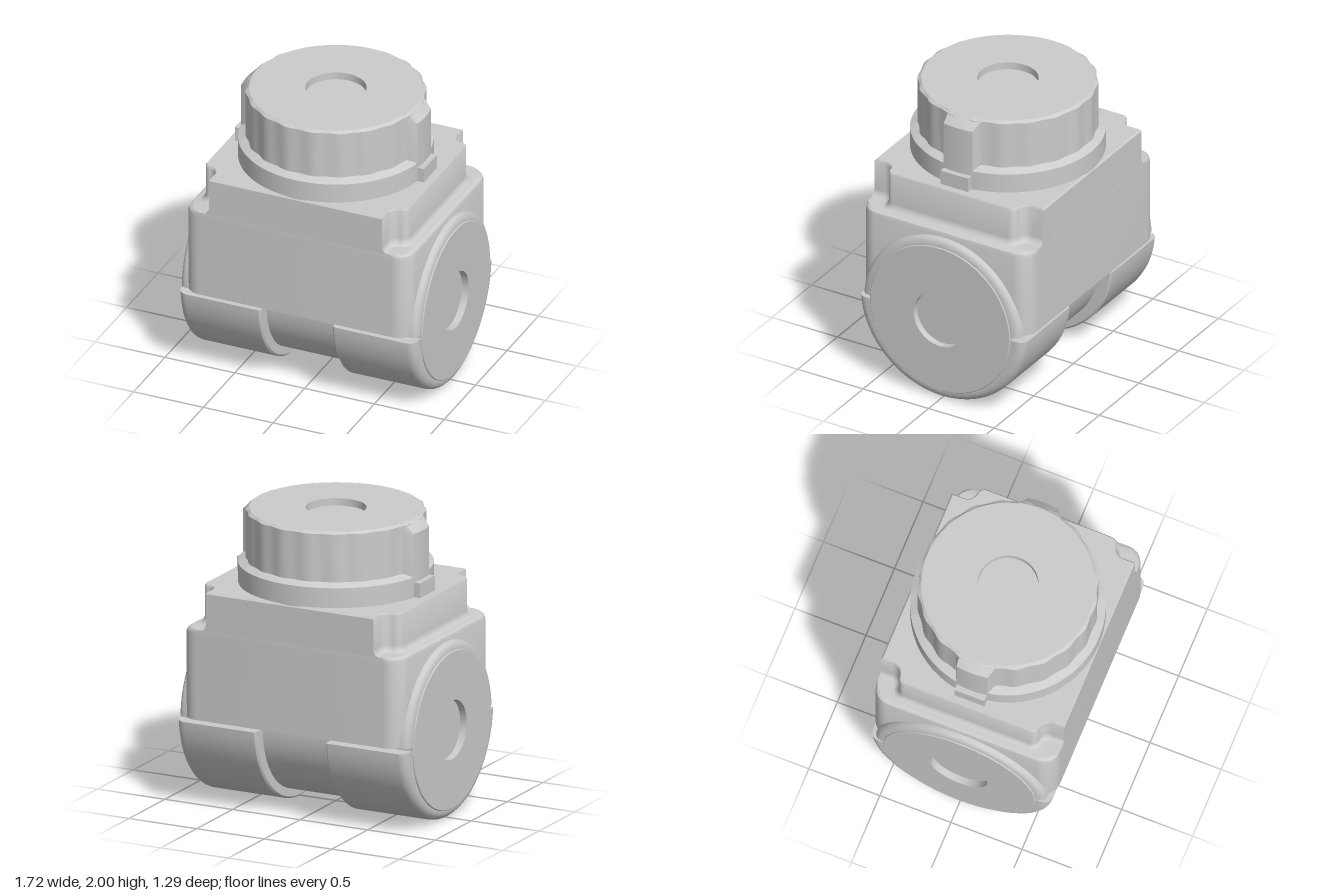
import * as THREE from 'three';
import { toCreasedNormals } from 'three/addons/utils/BufferGeometryUtils.js';

const V2 = (x, y) => new THREE.Vector2(x, y);

// Closed solid through matching counter-clockwise outlines: sections = [[height, points], ...] along +z
function loft(sections) {
  const n = sections[0][1].length, pos = [], index = [];
  for (const [h, pts] of sections) for (const p of pts) pos.push(p.x, p.y, h);
  for (let k = 0; k < sections.length - 1; k++) {
    for (let i = 0; i < n; i++) {
      const j = (i + 1) % n, a = k * n + i, b = k * n + j;
      index.push(a, b, b + n, a, b + n, a + n);
    }
  }
  const top = (sections.length - 1) * n;
  for (const [a, b, c] of THREE.ShapeUtils.triangulateShape(sections[0][1], [])) index.push(c, b, a);
  for (const [a, b, c] of THREE.ShapeUtils.triangulateShape(sections.at(-1)[1], [])) index.push(top + a, top + b, top + c);
  const g = new THREE.BufferGeometry();
  g.setAttribute('position', new THREE.Float32BufferAttribute(pos, 3));
  g.setIndex(index);
  return g;
}

function arc(cx, cy, r, from, to, n = 8) {
  return Array.from({ length: n + 1 }, (_, i) => {
    const a = from + (to - from) * i / n;
    return V2(cx + r * Math.cos(a), cy + r * Math.sin(a));
  });
}

// Complete a first-quadrant outline by mirroring it
function mirrorQuarter(q) {
  const m = (list, sx, sy) => list.map(p => V2(p.x * sx, p.y * sy));
  const r = [...q].reverse();
  return [...q, ...m(r, -1, 1), ...m(q, -1, -1), ...m(r, 1, -1)];
}

const PI = Math.PI, H = PI / 2, AXIS = 0.6;
const roundedRect = (hx, hz, r) => mirrorQuarter(arc(hx - r, hz - r, r, 0, H, 10));

// Plate with notched corners, grown outward by d
const notchedPlate = (d, hz) => mirrorQuarter([
  ...arc(0.68, 0.44, 0.05 + d, 0, H),
  ...arc(0.69, 0.56, 0.07 - d, 3 * H, 2 * H),
  V2(0.62 + d, hz),
]);

export function createModel() {
  const model = new THREE.Group();
  const material = new THREE.MeshStandardMaterial({ color: 0xcccccc });
  const add = (name, geometry, crease = 0.6) => {
    const mesh = new THREE.Mesh(toCreasedNormals(geometry, crease), material);
    mesh.name = name;
    model.add(mesh);
  };

  // Main housing with rounded corners and a soft shoulder
  add('housing', loft([
    [0.62, roundedRect(0.81, 0.645, 0.12)],
    [1.2, roundedRect(0.81, 0.645, 0.12)],
    [1.222, roundedRect(0.802, 0.645, 0.12)],
    [1.235, roundedRect(0.78, 0.645, 0.12)],
  ]).rotateX(-H));

  // Raised plate with a fillet at its foot
  const foot = [0, 1, 2, 3, 4].map(i => {
    const a = H * i / 4;
    return [1.28 - 0.05 * Math.cos(a), notchedPlate(0.05 * (1 - Math.sin(a)), 0.645)];
  });
  add('notchedPlate', loft([
    ...foot,
    [1.488, notchedPlate(0, 0.645)],
    [1.5, notchedPlate(-0.008, 0.635)],
  ]).rotateX(-H));

  // Horizontal barrel with a round recess in each end
  const end = [V2(0, 0.812), V2(0.2, 0.812), V2(0.2, 0.86), V2(0.53, 0.86), V2(0.535, 0.855)];
  const barrelProfile = [...end.map(p => V2(p.x, -p.y)), ...[...end].reverse()];
  add('barrel', new THREE.LatheGeometry(barrelProfile, 96).rotateZ(-H).translate(0, AXIS, 0));

  // Cap with soft flutes, a collar and a shallow recess in the top
  const capProfile = [
    [0, 1.49], [0.64, 1.49], [0.64, 1.635], [0.592, 1.66], [0.592, 1.985],
    [0.567, 2], [0.2, 2], [0.2, 1.95], [0, 1.95],
  ].map(p => V2(...p));
  const cap = new THREE.LatheGeometry(capProfile, 160);
  const p = cap.attributes.position;
  for (let i = 0; i < p.count; i++) {
    const x = p.getX(i), z = p.getZ(i);
    if (Math.abs(Math.hypot(x, z) - 0.592) > 0.01) continue;
    const s = 1 - 0.009 * (1 + Math.cos(20 * Math.atan2(z, x)));
    p.setXYZ(i, x * s, p.getY(i), z * s);
  }
  add('cap', cap, 0.4);

  for (const side of [1, -1]) {
    const label = side > 0 ? 'left' : 'right';

    // Rounded arch over the barrel end, open where the barrel passes
    const arch = (r, base) => [
      ...arc(0, 0.62, r, 0, PI, 48).map(q => V2(q.x * (1 + (base / r - 1) * (1 - (q.y - 0.62) / r)), q.y)),
      ...arc(0, 0.62, 0.5, PI, 0, 48),
    ];
    add(label + 'Arch', loft([
      [0.75, arch(0.573, 0.6)], [0.815, arch(0.573, 0.6)], [0.835, arch(0.566, 0.59)],
      [0.847, arch(0.55, 0.57)], [0.852, arch(0.525, 0.54)],
    ]).rotateY(side * H));

    // Lower clamp wrapped round the barrel, rounded on its outer edge
    const clamp = d => [
      ...arc(0, 0.635, 0.635 - d, PI + 0.07, 2 * PI - 0.07, 48),
      ...arc(0, AXIS, 0.5, 2 * PI - 0.02, PI + 0.02, 48),
    ];
    const round = [0, 1, 2, 3, 4, 5].map(i => {
      const a = H * i / 5;
      return [0.79 + 0.06 * Math.sin(a), clamp(0.06 * (1 - Math.cos(a)))];
    });
    add(label + 'Clamp', loft([[0.258, clamp(0.012)], [0.27, clamp(0)], ...round]).rotateY(side * H));

    // Grip lug on the cap, flush with the collar and chamfered at the top
    const lug = r => [V2(0.5, -0.145), V2(0.555, -0.145),
      ...arc(0, 0, r, -Math.asin(0.11 / r), Math.asin(0.11 / r)), V2(0.555, 0.145), V2(0.5, 0.145)];
    add(label + 'GripLug', loft([[1.63, lug(0.64)], [1.93, lug(0.64)], [1.999, lug(0.572)]])
      .rotateX(-H).rotateY(side > 0 ? 0 : PI));

    // Stop block beside the collar
    add(label + 'StopBlock', new THREE.BoxGeometry(0.1, 0.11, 0.21).translate(side * 0.627, 1.545, 0));
  }
  return model;
}
